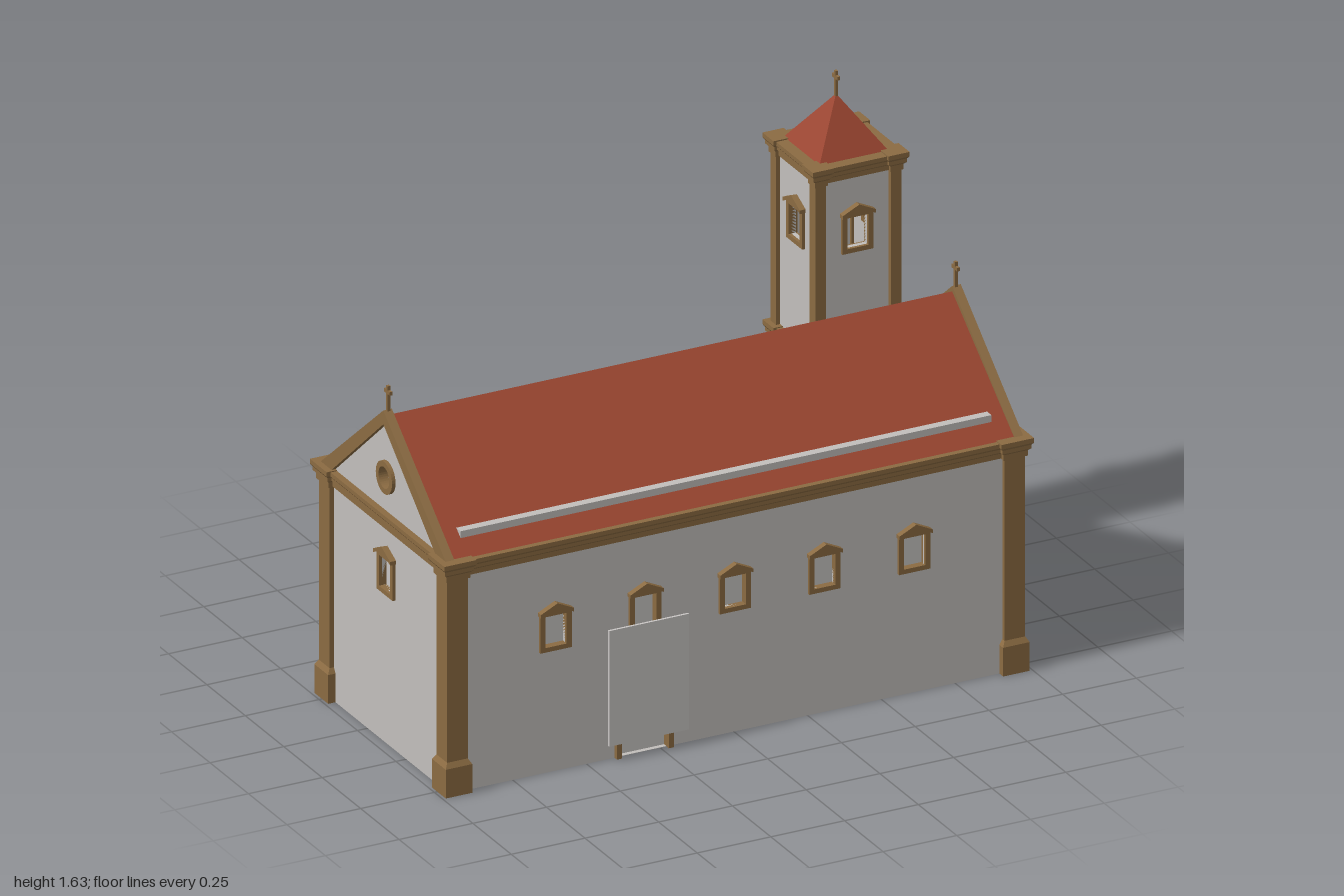
import * as THREE from 'three';

const mat = (name, color) => Object.assign(new THREE.MeshStandardMaterial({ color }), { name });

export function createModel() {
  const wallMat = mat('plaster', 0xc2bfbc), paneMat = mat('pale panel', 0xc8c5c3);
  const trimMat = mat('ochre stone', 0x8b6b42), roofMat = mat('red tile', 0x9a4530);
  const model = new THREE.Group();
  model.name = 'church';

  const add = (parent, name, geo, material, x = 0, y = 0, z = 0) => {
    const m = new THREE.Mesh(geo, material);
    m.name = name;
    m.position.set(x, y, z);
    parent.add(m);
    return m;
  };
  const box = (parent, name, material, w, h, d, x, y, z) =>
    add(parent, name, new THREE.BoxGeometry(w, h, d), material, x, y, z);
  const poly = (pts) => new THREE.Shape(pts.map(([x, y]) => new THREE.Vector2(x, y)));
  const rect = (hw, y0, y1, x = 0) => poly([[x - hw, y0], [x + hw, y0], [x + hw, y1], [x - hw, y1]]);
  const disc = (y, r) => new THREE.Shape().absarc(0, y, r, 0, Math.PI * 2);
  const slab = (shape, holes, z0, z1) => {
    shape.holes = holes;
    return new THREE.ExtrudeGeometry(shape, { depth: z1 - z0, bevelEnabled: false, curveSegments: 16 })
      .translate(0, 0, z0);
  };

  // Solid with rectangular cross-sections: rings of [half width, half depth, y]
  const loft = (rings) => {
    const p = [], idx = [];
    rings.forEach(([w, d, y]) => p.push(-w, y, d, w, y, d, w, y, -d, -w, y, -d));
    for (let r = 0; r < rings.length - 1; r++) for (let i = 0; i < 4; i++) {
      const a = r * 4 + i, b = r * 4 + (i + 1) % 4;
      idx.push(a, b, b + 4, a, b + 4, a + 4);
    }
    const t = (rings.length - 1) * 4;
    idx.push(0, 2, 1, 0, 3, 2, t, t + 1, t + 2, t, t + 2, t + 3);
    const g = new THREE.BufferGeometry();
    g.setAttribute('position', new THREE.Float32BufferAttribute(p, 3));
    g.setIndex(idx);
    const flat = g.toNonIndexed();
    flat.computeVertexNormals();
    return flat;
  };

  // Stepped moulding running round a rectangle
  const cornice = (parent, name, w, d, y0, y1, x, z) => {
    const h = y1 - y0;
    const steps = [[0.008, 0], [0.008, 0.3], [0.016, 0.42], [0.016, 0.62], [0.022, 0.75], [0.022, 1]];
    add(parent, name, loft(steps.map(([o, t]) => [w + o, d + o, y0 + h * t])), trimMat, x, 0, z);
  };
  const pilaster = (parent, name, s, b, y0, y1, x, z) => {
    const foot = y0 === 0 ? [[b, b, 0], [b, b, 0.095], [s, s, 0.112]] : [[s, s, y0]];
    add(parent, name, loft([...foot, [s, s, y1]]), trimMat, x, 0, z);
  };
  const cross = (name, x, y, z) => {
    box(model, name + 'Post', trimMat, 0.009, 0.09, 0.01, x, y + 0.045, z);
    box(model, name + 'Arm', trimMat, 0.009, 0.012, 0.036, x, y + 0.07, z);
  };

  // Framed openings, drawn on a wall facing local +z
  const framed = (parent, name, x, y, outer, inner, sill, head, lean, apex, pane) => {
    const g = new THREE.Group();
    g.name = name;
    g.position.set(x, y, 0);
    const frame = poly([[-outer, 0], [outer, 0], [outer, lean], [0, apex - 0.012], [-outer, lean]]);
    add(g, name + 'Frame', slab(frame, [rect(inner, sill, head)], -0.02, 0.01), trimMat);
    const e = outer * 1.06;
    const hood = poly([[-e, lean - 0.012], [0, apex - 0.015], [e, lean - 0.012], [e, lean], [0, apex], [-e, lean]].reverse());
    add(g, name + 'Hood', slab(hood, [], 0, 0.02), trimMat);
    if (pane) box(g, name + 'Panel', paneMat, inner * 2, head - sill, 0.006, 0, (sill + head) / 2, -0.018);
    parent.add(g);
  };
  const windowAt = (parent, x, y, pane = true) =>
    framed(parent, 'window', x, y, 0.053, 0.036, 0.015, 0.117, 0.133, 0.16, pane);
  const windowHole = (x, y) => rect(0.036, y + 0.015, y + 0.117, x);
  const doorAt = (parent, x, hw, k) => {
    const head = 0.312 * k;
    const g = new THREE.Group();
    g.name = 'door';
    g.position.x = x;
    for (const s of [-1, 1]) box(g, 'doorJamb', trimMat, 0.018, head, 0.03, s * (hw - 0.009), head / 2, 0.001);
    const ped = poly([[-hw, head], [hw, head], [hw * 1.05, head + 0.025], [0, 0.4 * k], [-hw * 1.05, head + 0.025]]);
    add(g, 'doorPediment', slab(ped, [], -0.01, 0.014), trimMat);
    const e = hw * 1.05;
    const hood = poly([[-e, head + 0.013], [0, 0.4 * k - 0.015], [e, head + 0.013], [e, head + 0.025], [0, 0.4 * k], [-e, head + 0.025]].reverse());
    add(g, 'doorHood', slab(hood, [], 0, 0.024), trimMat);
    box(g, 'doorLeaf', paneMat, hw * 2 - 0.036, head, 0.006, 0, head / 2, -0.018);
    parent.add(g);
  };
  const doorHole = (x, hw, k) => rect(hw - 0.018, 0.001, 0.312 * k, x);
  const side = (name, x, z, turn) => {
    const g = new THREE.Group();
    g.name = name;
    g.position.set(x, 0, z);
    g.rotation.y = turn;
    model.add(g);
    return g;
  };

  const W = 0.965, D = 0.4025, CZ = 0.1275, EAVE = 0.77, RIDGE = 1.09;

  // Long walls with five windows and a side door
  for (const s of [1, -1]) {
    const g = side(s > 0 ? 'frontWall' : 'backWall', 0, CZ + s * D, s > 0 ? 0 : Math.PI);
    const xs = [-2, -1, 0, 1, 2].map((i) => i * 0.304), dx = -0.308 * s;
    add(g, 'longWall', slab(rect(W, 0, 0.74), [...xs.map((x) => windowHole(x, 0.403)), doorHole(dx, 0.097, 0.88)], -0.025, 0), wallMat);
    xs.forEach((x) => windowAt(g, x, 0.403));
    doorAt(g, dx, 0.097, 0.88);
    // Plain board covering the front door
    if (s > 0) box(g, 'doorBoard', paneMat, 0.27, 0.383, 0.008, -0.303, 0.247, 0.026);
  }

  // Gable ends with window, round opening and raking trim
  for (const s of [1, -1]) {
    const g = side(s > 0 ? 'entranceEnd' : 'rearEnd', s * W, CZ, s * Math.PI / 2);
    const holes = [windowHole(0, 0.497), disc(0.885, 0.036)];
    if (s > 0) holes.push(doorHole(0, 0.125, 1));
    add(g, 'gableWall', slab(poly([[-D, 0], [D, 0], [D, EAVE], [0, RIDGE], [-D, EAVE]]), holes, -0.025, 0), wallMat);
    windowAt(g, 0, 0.497);
    if (s > 0) doorAt(g, 0, 0.125, 1);
    add(g, 'roundWindowRing', slab(disc(0.885, 0.053), [disc(0.885, 0.035)], -0.02, 0.012), trimMat);
    const rake = poly([[-0.41, EAVE], [-0.34, EAVE], [0, 1.062], [0.34, EAVE], [0.41, EAVE], [0, 1.108]]);
    add(g, 'gableTrim', slab(rake, [], -0.015, 0.014), trimMat);
    cross('gableCross', s * 0.962, 1.097, CZ);
  }

  // Floor, corner pilasters and eaves moulding
  box(model, 'floor', wallMat, W * 2 - 0.04, 0.01, D * 2 - 0.04, 0, 0.006, CZ);
  cornice(model, 'eavesCornice', W, D, 0.715, EAVE, 0, CZ);
  for (const x of [-0.945, 0.945]) for (const z of [0.51, -0.255]) {
    pilaster(model, 'cornerPilaster', 0.035, 0.045, 0, 0.73, x, z);
    cornice(model, 'cornerCapital', 0.033, 0.033, 0.712, 0.773, x, z);
  }

  // Pitched roof and the pale strips along both slopes
  const pitch = poly([[-0.405, EAVE], [-0.385, EAVE], [0, RIDGE - 0.016], [0.385, EAVE], [0.405, EAVE], [0, RIDGE]]);
  const roof = add(model, 'mainRoof', slab(pitch, [], -0.96, 0.96), roofMat, 0, 0, CZ);
  roof.rotation.y = Math.PI / 2;
  box(model, 'frontRoofStrip', wallMat, 1.8, 0.04, 0.032, 0, 0.815, 0.463);
  box(model, 'backRoofStrip', wallMat, 1.8, 0.04, 0.02, 0, 0.815, -0.21);

  // Bell tower: hollow walls with an open window on every side
  const TX = 0.8325, TZ = -0.4025, T = 0.1325;
  for (let i = 0; i < 4; i++) {
    const a = i * Math.PI / 2;
    const g = side('towerSide', TX + Math.sin(a) * T, TZ + Math.cos(a) * T, a);
    add(g, 'towerWall', slab(rect(T, 0, 1.36), [windowHole(0, 1.088)], -0.015, 0), wallMat);
    windowAt(g, 0, 1.088, false);
  }
  for (const sx of [-1, 1]) for (const sz of [-1, 1]) {
    const x = TX + sx * 0.128, z = TZ + sz * 0.128;
    pilaster(model, 'towerPilaster', 0.0185, 0.029, 0, 1.35, x, z);
    cornice(model, 'towerLowerCapital', 0.014, 0.014, 0.712, 0.773, x, z);
    cornice(model, 'towerUpperCapital', 0.014, 0.014, 1.332, 1.392, x, z);
  }
  cornice(model, 'towerMiddleCornice', T, T, 0.715, EAVE, TX, TZ);
  cornice(model, 'towerTopCornice', T, T, 1.335, 1.388, TX, TZ);
  add(model, 'towerRoof', loft([[0.118, 0.118, 1.386], [0.001, 0.001, 1.552]]), roofMat, TX, 0, TZ);
  cross('towerCross', TX, 1.54, TZ);

  return model;
}
